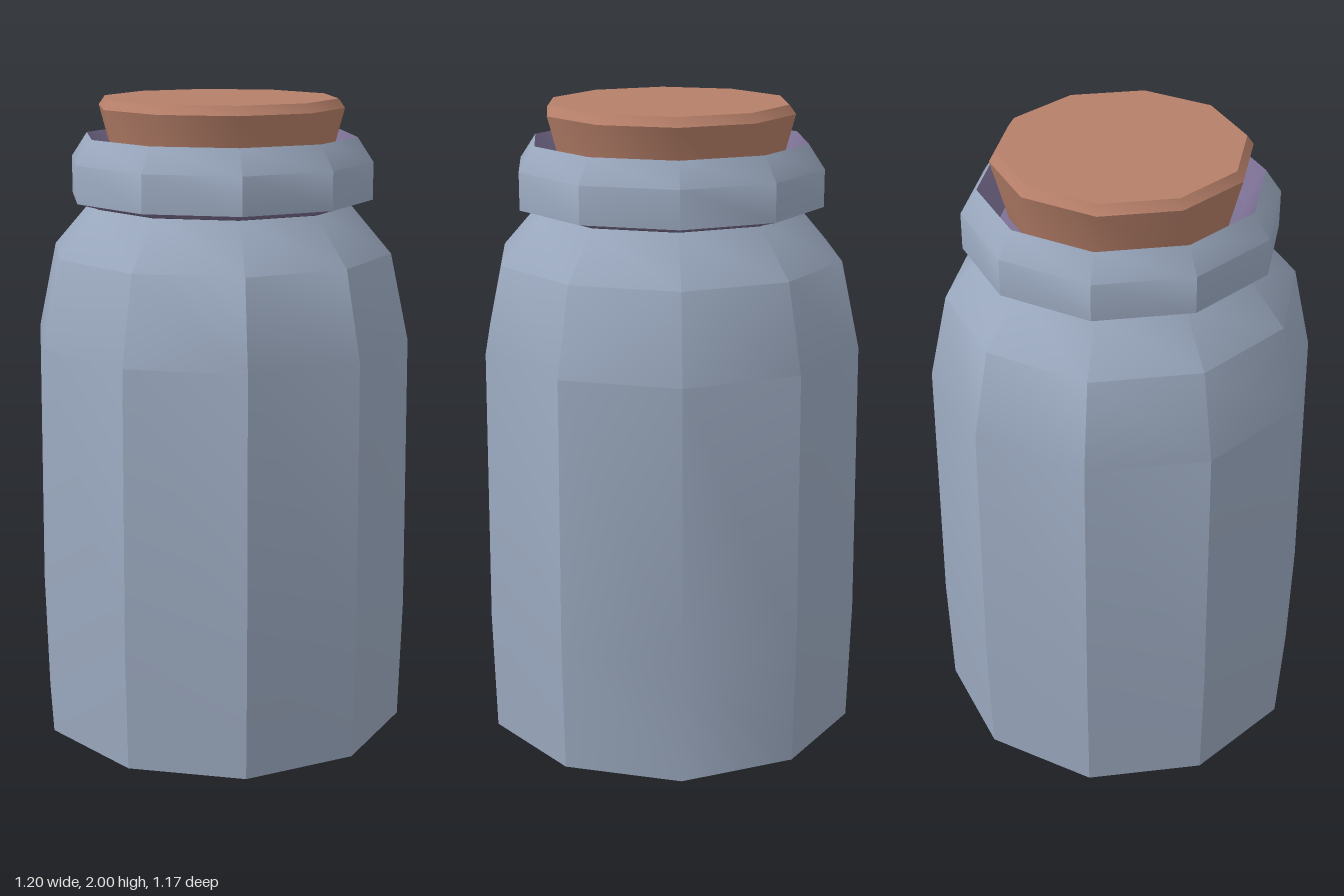
import * as THREE from 'three';
import { toCreasedNormals } from 'three/addons/utils/BufferGeometryUtils.js';

const SIDES = 10;
const CREASE = THREE.MathUtils.degToRad(35.7);

function material(name, color) {
  const m = new THREE.MeshStandardMaterial({ color });
  m.name = name;
  return m;
}

// Ten-sided turned part from [radius, height] pairs, slightly deeper than wide
function turned(name, mat, profile) {
  const points = profile.map(([r, y]) => new THREE.Vector2(r, y));
  const geometry = new THREE.LatheGeometry(points, SIDES, Math.PI / 2);
  geometry.scale(1, 1, 1.02);
  const mesh = new THREE.Mesh(toCreasedNormals(geometry, CREASE), mat);
  mesh.name = name;
  return mesh;
}

export function createModel() {
  const glass = material('blue grey glass', 0x9aa8be);
  const rim = material('muted purple', 0x7d7195);
  const cork = material('cork brown', 0xb67f69);

  const model = new THREE.Group();
  model.name = 'corkedJar';

  model.add(
    // Closed base, faintly bulging wall and rounded shoulder
    turned('jarBody', glass, [[0, 0], [0.592, 0], [0.602, 0.39], [0.593, 1.26], [0.535, 1.53], [0.41, 1.675]]),
    // Thick collar with a bevelled top
    turned('collar', glass, [[0.475, 1.695], [0.475, 1.81], [0.425, 1.885]]),
    // Underside of the collar
    turned('collarUnderside', rim, [[0.405, 1.675], [0.475, 1.695]]),
    // Mouth of the jar, sloping in around the stopper
    turned('jarMouth', rim, [[0.425, 1.885], [0.365, 1.78], [0, 1.78]]),
    // Tapered stopper with a bevelled top edge
    turned('stopper', cork, [[0, 1.785], [0.335, 1.785], [0.385, 1.972], [0.365, 2], [0, 2]])
  );
  return model;
}
